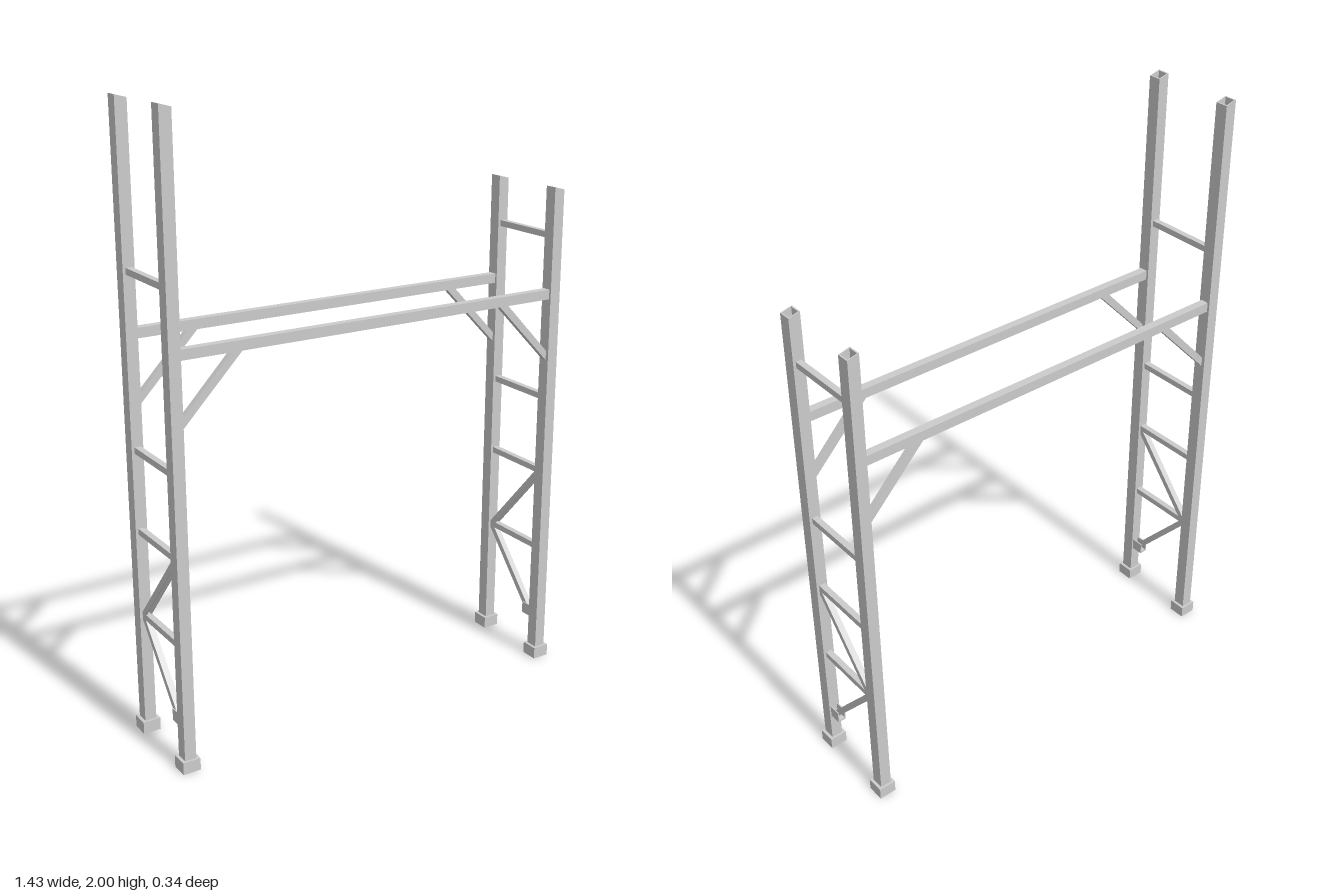
import * as THREE from 'three';

const material = new THREE.MeshStandardMaterial({ color: 0xcccccc, flatShading: true });
const X = 0.684; // post centre, sideways
const Z = 0.141; // post centre, front to back

function addMesh(parent, name, geometry) {
  const mesh = new THREE.Mesh(geometry, material);
  mesh.name = name;
  parent.add(mesh);
  return mesh;
}

function polygon(points) {
  return new THREE.Shape(points.map(([x, y]) => new THREE.Vector2(x, y)));
}

function rectangle(w, h) {
  return [[-w / 2, -h / 2], [w / 2, -h / 2], [w / 2, h / 2], [-w / 2, h / 2]];
}

// Folded channel from a to b, open on its underside
function addChannel(parent, name, a, b, w, h, wall) {
  const start = new THREE.Vector3(...a), end = new THREE.Vector3(...b);
  const x = w / 2, y = h / 2, i = x - wall;
  const profile = polygon([[-x, -y], [-i, -y], [-i, y - wall], [i, y - wall], [i, -y], [x, -y], [x, y], [-x, y]]);
  const geometry = new THREE.ExtrudeGeometry(profile, { depth: start.distanceTo(end), bevelEnabled: false });
  const mesh = addMesh(parent, name, geometry);
  mesh.position.copy(start);
  mesh.lookAt(end);
}

// Hollow post whose open top is cut along the roof pitch
function postGeometry(height) {
  const w = 0.038, d = 0.042, wall = 0.004, base = 0.04;
  const shape = polygon(rectangle(w, d));
  shape.holes.push(new THREE.Path(rectangle(w - 2 * wall, d - 2 * wall).reverse().map(([x, y]) => new THREE.Vector2(x, y))));
  const geometry = new THREE.ExtrudeGeometry(shape, { depth: height - base, bevelEnabled: false });
  geometry.rotateX(-Math.PI / 2).translate(0, base, 0);
  const p = geometry.attributes.position;
  for (let i = 0; i < p.count; i++) {
    if (p.getY(i) > height - 0.01) p.setY(i, height - 0.01 * (p.getX(i) / w + 0.5));
  }
  geometry.computeVertexNormals();
  return geometry;
}

function createEndFrame(side) {
  const frame = new THREE.Group();
  frame.name = side > 0 ? 'leftEndFrame' : 'rightEndFrame';
  const x = side * X;

  // Posts and their feet
  for (const z of [-Z, Z]) {
    addMesh(frame, 'post', postGeometry(side > 0 ? 1.66 : 2)).position.set(x, 0, z);
    addMesh(frame, 'foot', new THREE.BoxGeometry(0.058, 0.04, 0.058)).position.set(x, 0.02, z);
  }

  // Horizontal rungs and the zigzag bracing
  for (const y of [0.41, 0.69, 0.953, 1.5]) {
    addChannel(frame, 'rung', [x, y, -Z], [x, y, Z], 0.02, 0.02, 0.003);
  }
  addChannel(frame, 'upperDiagonal', [x, 0.4, -0.125], [x, 0.685, 0.125], 0.02, 0.02, 0.003);
  addChannel(frame, 'lowerDiagonal', [x, 0.155, 0.103], [x, 0.415, -0.125], 0.02, 0.02, 0.003);

  // Bracket holding the lowest brace end
  const bracket = new THREE.Group();
  bracket.name = 'braceBracket';
  for (const s of [-1, 1]) {
    addMesh(bracket, 'bracketPlate', new THREE.BoxGeometry(0.004, 0.04, 0.045)).position.set(x + s * 0.012, 0.16, 0.1);
  }
  addMesh(bracket, 'bracketBase', new THREE.BoxGeometry(0.028, 0.006, 0.045)).position.set(x, 0.143, 0.1);
  frame.add(bracket);
  return frame;
}

// Knee brace cut flush against the post and the beam
function kneeGeometry(side) {
  const points = [[0.667, 1.085], [0.667, 1.117], [0.497, 1.296], [0.463, 1.296]].map(([x, y]) => [side * x, y]);
  const depth = 0.02;
  return new THREE.ExtrudeGeometry(polygon(points), { depth, bevelEnabled: false }).translate(0, 0, -depth / 2);
}

export function createModel() {
  const model = new THREE.Group();
  model.name = 'rackFrame';
  for (const side of [-1, 1]) model.add(createEndFrame(side));

  // Long beams with a knee brace at each end
  for (const z of [-Z, Z]) {
    addChannel(model, 'beam', [-0.667, 1.31, z], [0.667, 1.31, z], 0.027, 0.032, 0.004);
    for (const side of [-1, 1]) addMesh(model, 'kneeBrace', kneeGeometry(side)).position.z = z;
  }
  return model;
}
